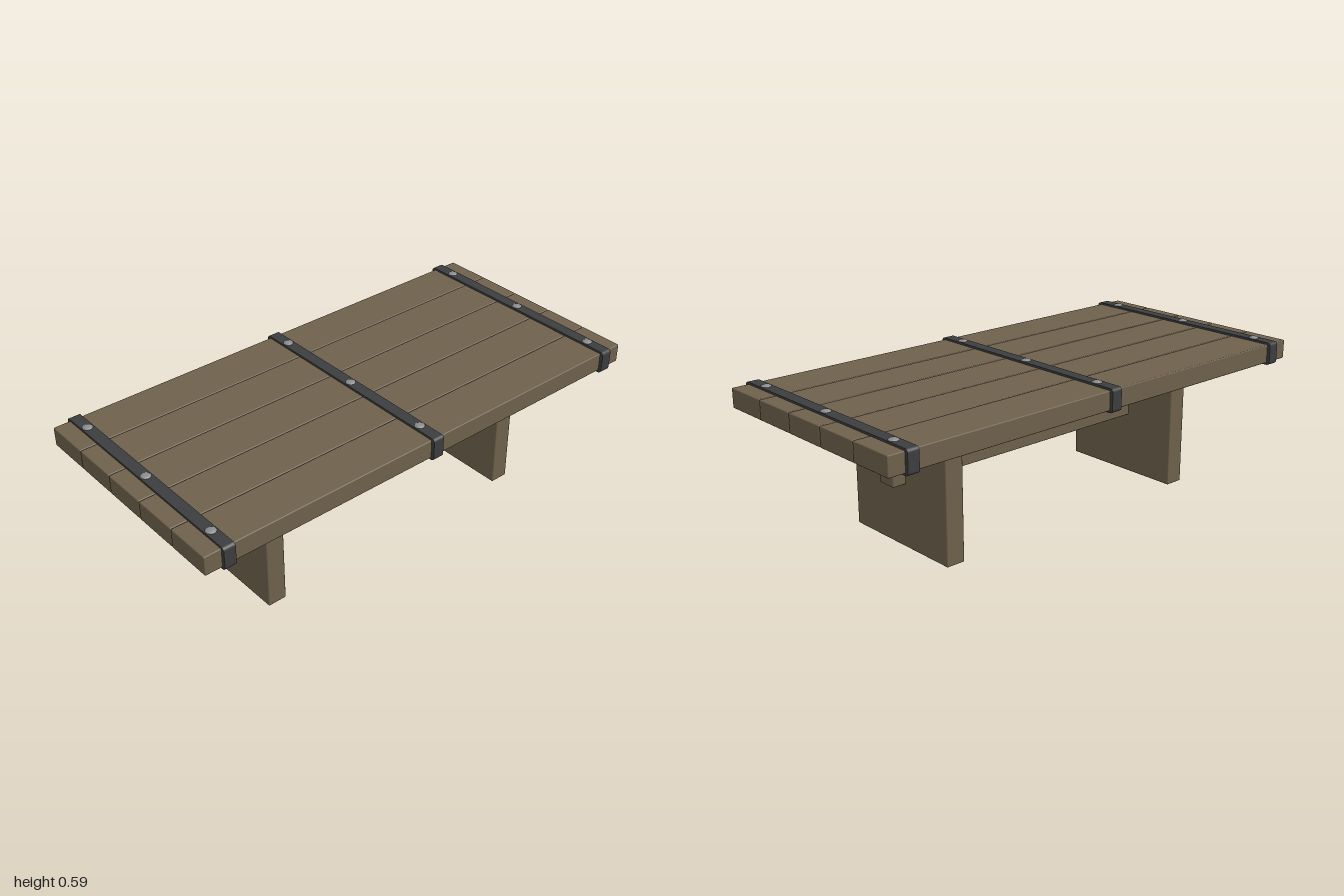
import * as THREE from 'three';
import { RoundedBoxGeometry } from 'three/addons/geometries/RoundedBoxGeometry.js';

const wood = new THREE.MeshStandardMaterial({ color: 0x6e604b });
const iron = new THREE.MeshStandardMaterial({ color: 0x3c3d3e });
const steel = new THREE.MeshStandardMaterial({ color: 0x8a8c8e });

function add(parent, name, geometry, material, x, y, z) {
  const mesh = new THREE.Mesh(geometry, material);
  mesh.name = name;
  mesh.position.set(x, y, z);
  parent.add(mesh);
  return mesh;
}

const beam = (w, h, d, bevel) => new RoundedBoxGeometry(w, h, d, 2, bevel);

// Rounded rectangle outline, used for both edges of a strap
function roundedRect(target, halfW, halfH, r) {
  target.moveTo(halfW, -halfH + r);
  target.absarc(halfW - r, halfH - r, r, 0, Math.PI / 2);
  target.absarc(-halfW + r, halfH - r, r, Math.PI / 2, Math.PI);
  target.absarc(-halfW + r, -halfH + r, r, Math.PI, Math.PI * 1.5);
  target.absarc(halfW - r, -halfH + r, r, Math.PI * 1.5, Math.PI * 2);
  target.closePath();
  return target;
}

export function createModel() {
  const group = new THREE.Group();
  group.name = 'table';
  const topY = 0.535;

  // Five planks side by side
  const pitch = 0.188;
  const plank = beam(2, 0.076, pitch - 0.002, 0.004);
  for (let i = -2; i <= 2; i++) add(group, 'plank', plank, wood, 0, topY, i * pitch);

  // Slab legs
  const leg = beam(0.078, 0.498, 0.54, 0.005);
  for (const side of [-1, 1]) add(group, 'leg', leg, wood, side * 0.58, 0.249, 0);

  // Stretcher that passes through both legs
  add(group, 'stretcher', beam(1.35, 0.08, 0.08, 0.006), wood, 0, 0.288, 0);

  // Iron straps around the top, each with domed rivets above and below
  const width = 0.046;
  const outline = roundedRect(new THREE.Shape(), 0.483, 0.046, 0.014);
  outline.holes.push(roundedRect(new THREE.Path(), 0.469, 0.036, 0.004));
  const strap = new THREE.ExtrudeGeometry(outline, { depth: width, bevelEnabled: false, curveSegments: 5 });
  strap.translate(0, 0, -width / 2).rotateY(Math.PI / 2);
  const rivet = new THREE.SphereGeometry(0.02, 16, 6, 0, Math.PI * 2, 0, Math.PI / 2);
  rivet.scale(1, 0.4, 1);
  for (const x of [-0.91, 0, 0.91]) {
    add(group, 'strap', strap, iron, x, topY, 0);
    for (const z of [-0.381, 0, 0.381]) {
      add(group, 'topRivet', rivet, steel, x, topY + 0.045, z);
      add(group, 'bottomRivet', rivet, steel, x, topY - 0.045, z).rotation.x = Math.PI;
    }
  }
  return group;
}
